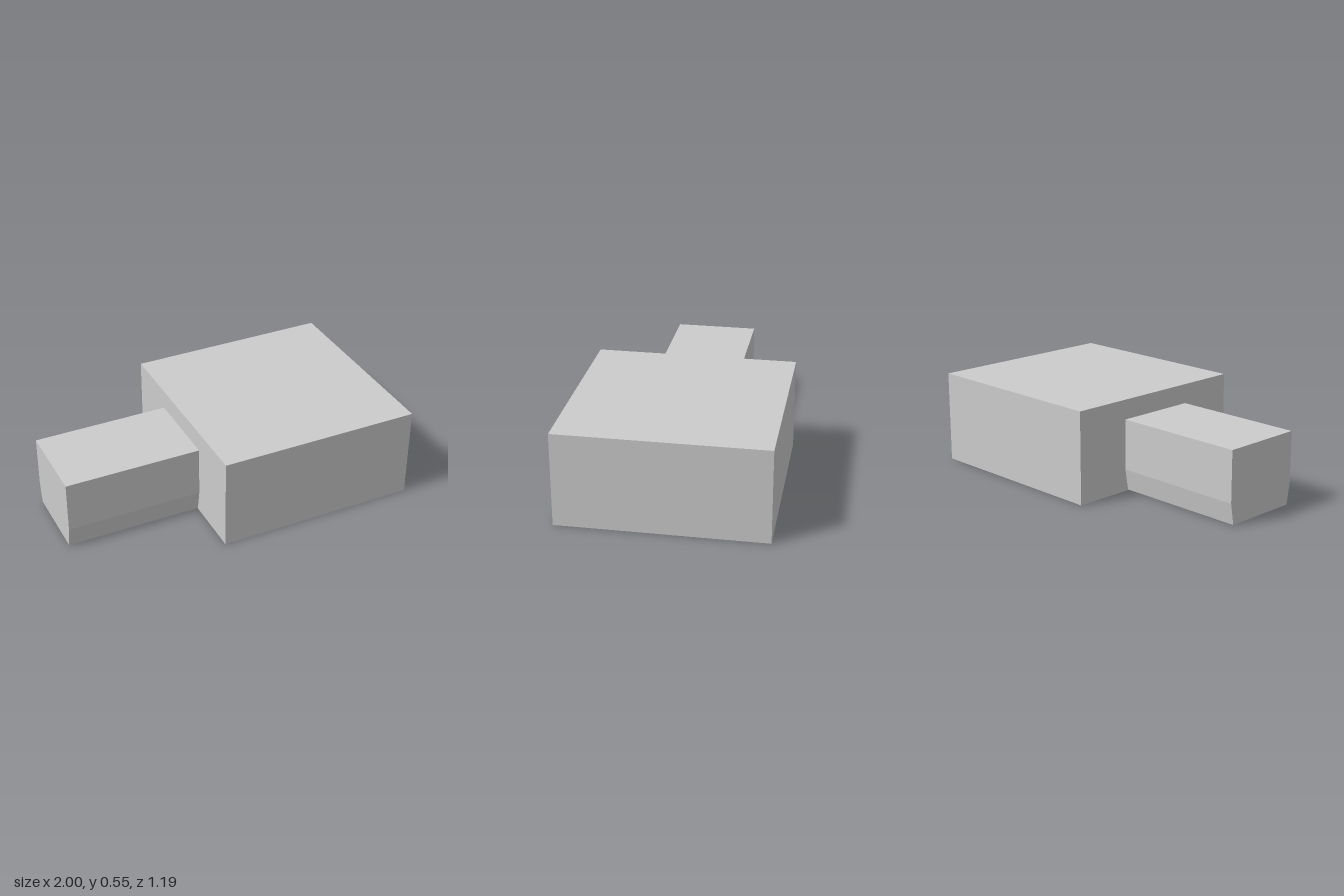
import * as THREE from 'three';

export function createModel() {
  const group = new THREE.Group();
  const material = new THREE.MeshStandardMaterial({ color: 0xcccccc, flatShading: true });

  // Large rectangular block
  const height = 0.547, joinX = -0.195;
  const block = new THREE.Mesh(new THREE.BoxGeometry(1 - joinX, height, 1.19), material);
  block.name = 'mainBlock';
  block.position.set((1 + joinX) / 2, height / 2, 0);
  group.add(block);

  // Narrow plug: its sides lean inwards towards the bottom
  const half = [[0.227, 0.004], [0.248, 0.13], [0.248, 0.43]];
  const outline = [...half, ...half.map(([z, y]) => [-z, y]).reverse()];
  const shape = new THREE.Shape(outline.map(([z, y]) => new THREE.Vector2(z, y)));
  const geometry = new THREE.ExtrudeGeometry(shape, { depth: joinX + 1, bevelEnabled: false });
  geometry.rotateY(Math.PI / 2);
  const plug = new THREE.Mesh(geometry, material);
  plug.name = 'plug';
  plug.position.x = -1;
  group.add(plug);

  return group;
}
